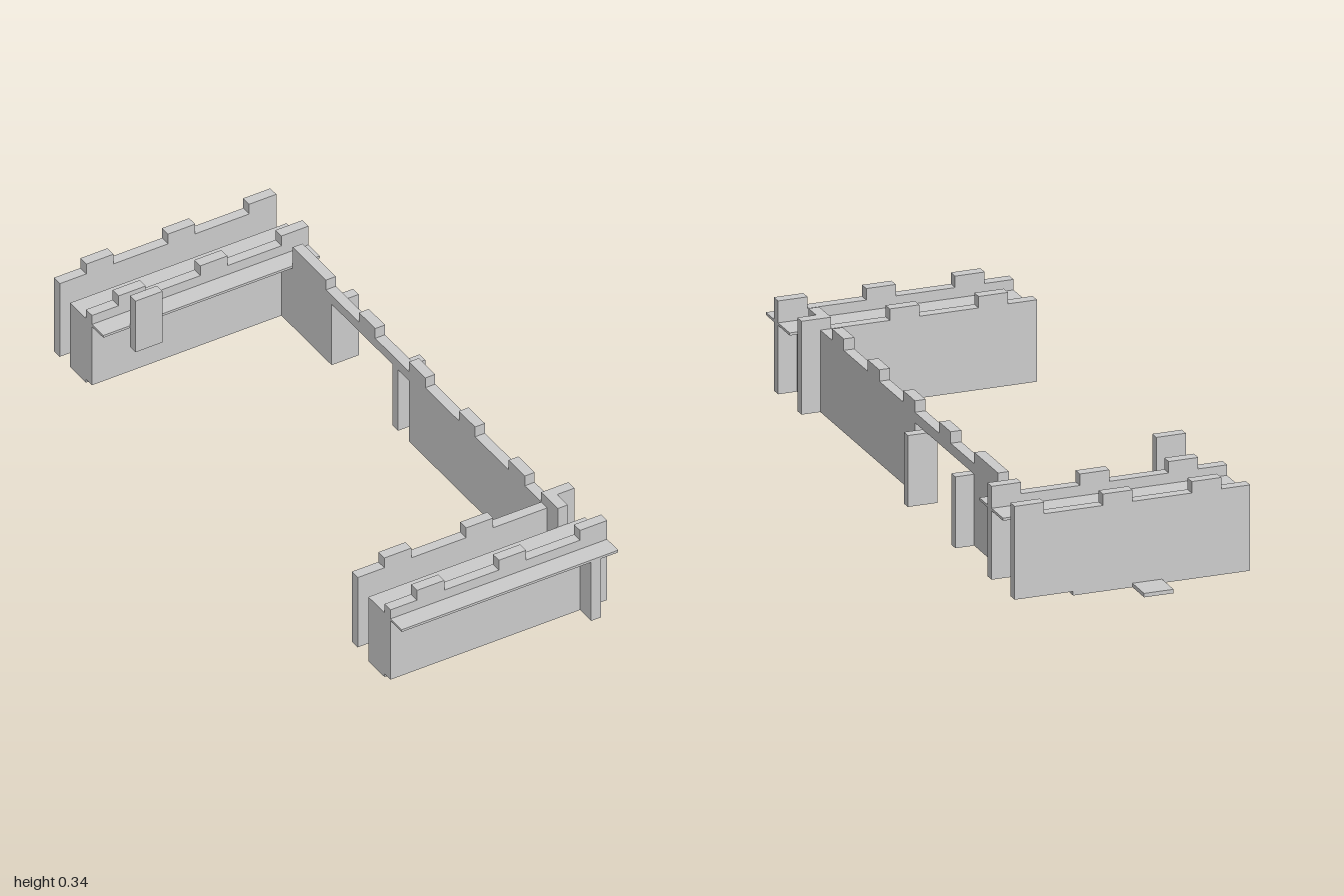
import * as THREE from 'three';

const T = 0.033;             // panel thickness
const BASE = 0.012, SLAB = 0.222, DECK = 0.23, WALL = 0.262, MERLON = 0.297;
const END = 0.363;           // half width of the cross walls

const material = new THREE.MeshStandardMaterial({ color: 0xcccccc, flatShading: true });

export function createModel() {
  const model = new THREE.Group();
  model.name = 'castleWalls';

  const add = (name, geometry) => {
    const mesh = new THREE.Mesh(geometry, material);
    mesh.name = name;
    model.add(mesh);
    return mesh;
  };

  // Box given by its limits on each axis
  const box = (name, x0, x1, y0, y1, z0, z1) =>
    add(name, new THREE.BoxGeometry(x1 - x0, y1 - y0, z1 - z0))
      .position.set((x0 + x1) / 2, (y0 + y1) / 2, (z0 + z1) / 2);

  // Panel outline: a bottom edge of points, closed by a battlement top running back
  const panel = (bottom, merlons) => {
    const shape = new THREE.Shape(bottom.map(([u, v]) => new THREE.Vector2(u, v)));
    const start = bottom[0][0], end = bottom[bottom.length - 1][0];
    if (merlons[0][1] < end) shape.lineTo(end, WALL);
    for (const [a, b] of merlons) {
      if (b < end) shape.lineTo(b, WALL);
      shape.lineTo(b, MERLON);
      shape.lineTo(a, MERLON);
      if (a > start) shape.lineTo(a, WALL);
    }
    if (merlons[merlons.length - 1][0] > start) shape.lineTo(start, WALL);
    return new THREE.ExtrudeGeometry(shape, { depth: T, bevelEnabled: false });
  };

  // Four cross walls with battlements
  const crossMerlons = [[0.272, END], [0, 0.091], [-0.274, -0.183]];
  const crossWalls = {
    frontOuterWall: 0.906, frontInnerWall: 0.726, backInnerWall: -0.733, backOuterWall: -0.91,
  };
  for (const [name, z] of Object.entries(crossWalls)) {
    const bottom = name === 'backOuterWall'
      ? [[-END, 0], [0.183, 0], [0.183, BASE], [END, BASE]]
      : [[-END, BASE], [END, BASE]];
    add(name, panel(bottom, crossMerlons)).position.z = z;
  }

  // Long side wall with a wide gateway; u runs along z
  const side = panel(
    [[-0.638, BASE], [-0.455, BASE], [-0.455, DECK], [0, DECK], [0, BASE], [0.817, BASE]],
    [[0.73, 0.817], [0.547, 0.636], [0.274, 0.363], [0, 0.09], [-0.274, -0.185], [-0.638, -0.455]]);
  side.rotateY(-Math.PI / 2);
  add('sideWall', side).position.x = 0.305;

  // Walkways, with the side wall carried on below them and a closing panel at the far end
  for (const [label, z0, z1, e0, e1] of [
    ['front', 0.817, 1, 0.817, 0.906],
    ['back', -0.82, -0.638, -0.82, -0.733],
  ]) {
    box(label + 'Walkway', -END, END, SLAB, DECK, z0, z1);
    box(label + 'WalkwaySupport', 0.272, 0.305, BASE, SLAB, z0, z1);
    box(label + 'EndPanel', -END, -0.333, 0, SLAB, e0, e1);
  }

  // Gate leaves standing across the gateway
  for (const z of [-0.09, -0.455]) box('gateLeaf', 0.272, END, BASE, DECK, z, z + 0.031);

  // Raised shield panel inside the back walkway
  box('shieldPanel', -0.274, -0.183, 0.155, 0.338, -0.638, -0.607);

  // Door step behind the back wall
  box('doorStep', -0.091, 0, 0, BASE, -1, -0.91);

  return model;
}
